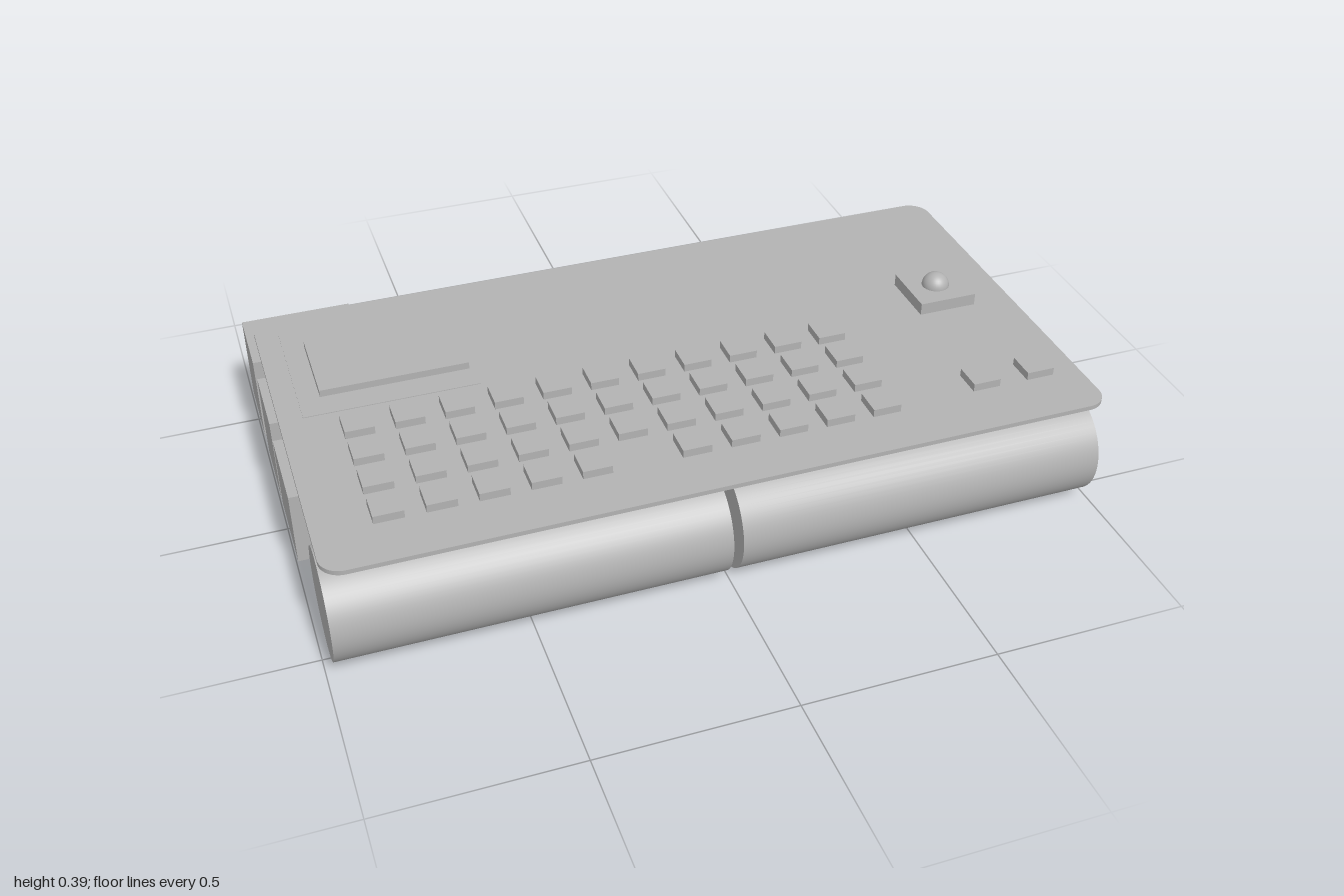
import * as THREE from 'three';

export function createModel() {
  const model = new THREE.Group();
  const grey = new THREE.MeshStandardMaterial({ color: 0xb3b3b3 });
  grey.name = 'plain grey';

  const add = (name, geometry, parent = model) => {
    const mesh = new THREE.Mesh(geometry, grey);
    mesh.name = name;
    parent.add(mesh);
    return mesh;
  };
  // box given by its extents
  const box = (name, x0, x1, y0, y1, z0, z1, parent) => {
    const mesh = add(name, new THREE.BoxGeometry(x1 - x0, y1 - y0, z1 - z0), parent);
    mesh.position.set((x0 + x1) / 2, (y0 + y1) / 2, (z0 + z1) / 2);
    return mesh;
  };
  const group = (name) => {
    const g = new THREE.Group();
    g.name = name;
    model.add(g);
    return g;
  };

  // keyboard plate with rounded corners
  const x0 = -0.98, x1 = 1, z0 = -0.487, z1 = 0.582, r = 0.055;
  const outline = new THREE.Shape();
  outline.absarc(x1 - r, z1 - r, r, 0, Math.PI / 2);
  outline.absarc(x0 + r, z1 - r, r, Math.PI / 2, Math.PI);
  outline.absarc(x0 + r, z0 + r, r, Math.PI, Math.PI * 1.5);
  outline.absarc(x1 - r, z0 + r, r, Math.PI * 1.5, Math.PI * 2);
  outline.closePath();
  const plate = add('keyboardPlate', new THREE.ExtrudeGeometry(outline,
    { depth: 0.012, bevelEnabled: false, curveSegments: 8 }));
  plate.rotation.x = Math.PI / 2;
  plate.position.y = 0.327;

  // key grid, with one gap in the front row
  const keys = group('keys');
  const key = (x, z) => box('key', x - 0.037, x + 0.037, 0.325, 0.348, z - 0.037, z + 0.037, keys);
  for (let row = 0; row < 4; row++) {
    for (let col = 0; col < 11; col++) {
      if (row === 3 && col === 5) continue;
      key(-0.8 + col * 0.125, 0.072 + row * 0.1125);
    }
  }
  for (const x of [0.735, 0.887]) key(x, 0.393);

  // display on its thin carrier board
  box('displayBoard', -0.92, -0.47, 0.325, 0.329, -0.405, -0.01);
  box('display', -0.865, -0.48, 0.325, 0.348, -0.317, -0.083);

  // pointing ball, its housing and the board below the plate
  box('ballHousing', 0.73, 0.89, 0.295, 0.36, -0.095, 0.066);
  const ball = add('pointingBall', new THREE.SphereGeometry(0.037, 32, 20));
  ball.position.set(0.81, 0.359, -0.014);
  box('ballBoard', 0.6, 0.925, 0.275, 0.297, -0.215, 0.215);

  // connectors under the plate
  box('wideSocket', -0.135, -0.03, 0.298, 0.316, -0.3, -0.195);
  box('narrowSocket', 0.03, 0.105, 0.286, 0.316, -0.293, -0.217);

  // two battery cells end to end, each with a contact at its left end
  const axial = (name, radius, xa, xb, parent) => {
    const mesh = add(name, new THREE.CylinderGeometry(radius, radius, xb - xa, 64), parent);
    mesh.rotation.z = -Math.PI / 2;
    mesh.position.set((xa + xb) / 2, 0.139, 0.461);
  };
  for (const start of [-0.98, 0.015]) {
    const cell = group('batteryCell');
    axial('cellBody', 0.138, start, start + 0.97, cell);
    axial('cellContact', 0.074, start + 0.965, start + 0.978, cell);
  }

  // main circuit board with ports, cooler and rear sockets
  box('mainBoard', -0.96, 0.3, 0.042, 0.064, -0.59, 0.242);
  box('networkPort', -1, -0.71, 0.063, 0.262, -0.03, 0.207);
  box('dataPort', -1, -0.71, 0.063, 0.297, -0.26, -0.055);
  box('dataPort', -1, -0.71, 0.063, 0.297, -0.542, -0.337);
  box('coolerBlock', -0.39, 0.02, 0.063, 0.182, -0.353, 0.063);
  const fan = add('coolerDisc', new THREE.CylinderGeometry(0.178, 0.178, 0.01, 48));
  fan.position.set(-0.185, 0.186, -0.145);
  for (const x of [-0.084, 0.119]) {
    box('rearSocket', x - 0.051, x + 0.051, 0.063, 0.108, -0.597, -0.504);
  }

  return model;
}
